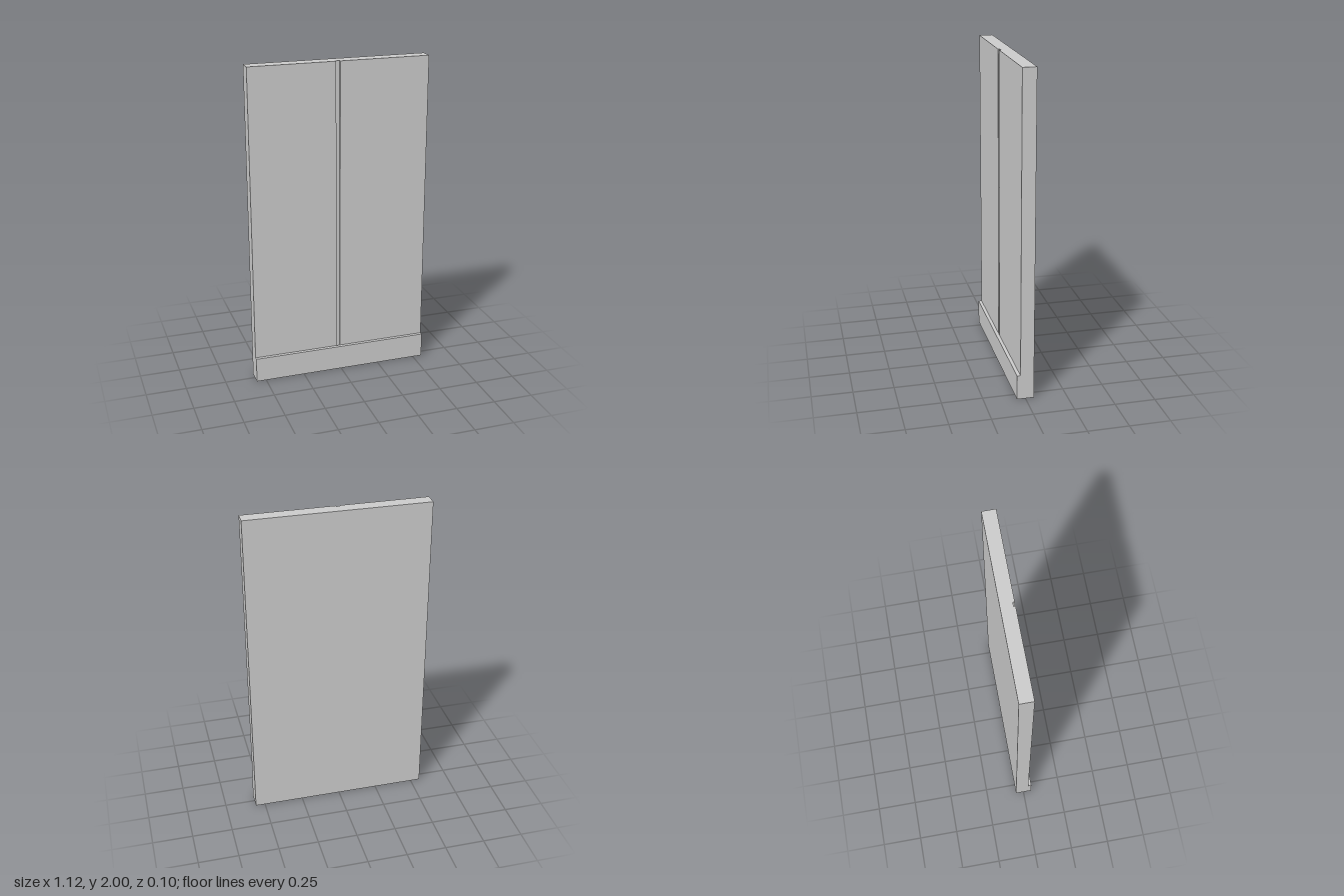
import * as THREE from 'three';

const W = 1.12, H = 2, BACK = -0.052, FACE = 0.031, FRONT = 0.052;
const BASE_H = 0.156;
const GROOVE = { left: -0.025, right: 0, z: 0.02 };

export function createModel() {
  const group = new THREE.Group();
  const material = new THREE.MeshStandardMaterial({ color: 0xcccccc, flatShading: true });
  const add = (name, geometry) => {
    const mesh = new THREE.Mesh(geometry, material);
    mesh.name = name;
    group.add(mesh);
    return mesh;
  };

  // Wall panel: plan outline with a narrow vertical groove, extruded upwards (shape y = -z)
  const plan = [
    [-W / 2, BACK], [-W / 2, FACE],
    [GROOVE.left, FACE], [GROOVE.left, GROOVE.z], [GROOVE.right, GROOVE.z], [GROOVE.right, FACE],
    [W / 2, FACE], [W / 2, BACK],
  ];
  const shape = new THREE.Shape(plan.map(([x, z]) => new THREE.Vector2(x, -z)));
  const panel = new THREE.ExtrudeGeometry(shape, { depth: H, bevelEnabled: false });
  panel.rotateX(-Math.PI / 2);
  add('wallPanel', panel);

  // Baseboard along the foot of the panel
  const baseboard = new THREE.BoxGeometry(W, BASE_H, FRONT - FACE);
  baseboard.translate(0, BASE_H / 2, (FRONT + FACE) / 2);
  add('baseboard', baseboard);

  // Underside closing the groove, facing down
  const cap = new THREE.PlaneGeometry(GROOVE.right - GROOVE.left, FACE - GROOVE.z);
  cap.rotateX(Math.PI / 2);
  cap.translate((GROOVE.left + GROOVE.right) / 2, 0, (FACE + GROOVE.z) / 2);
  add('grooveUnderside', cap);

  return group;
}
